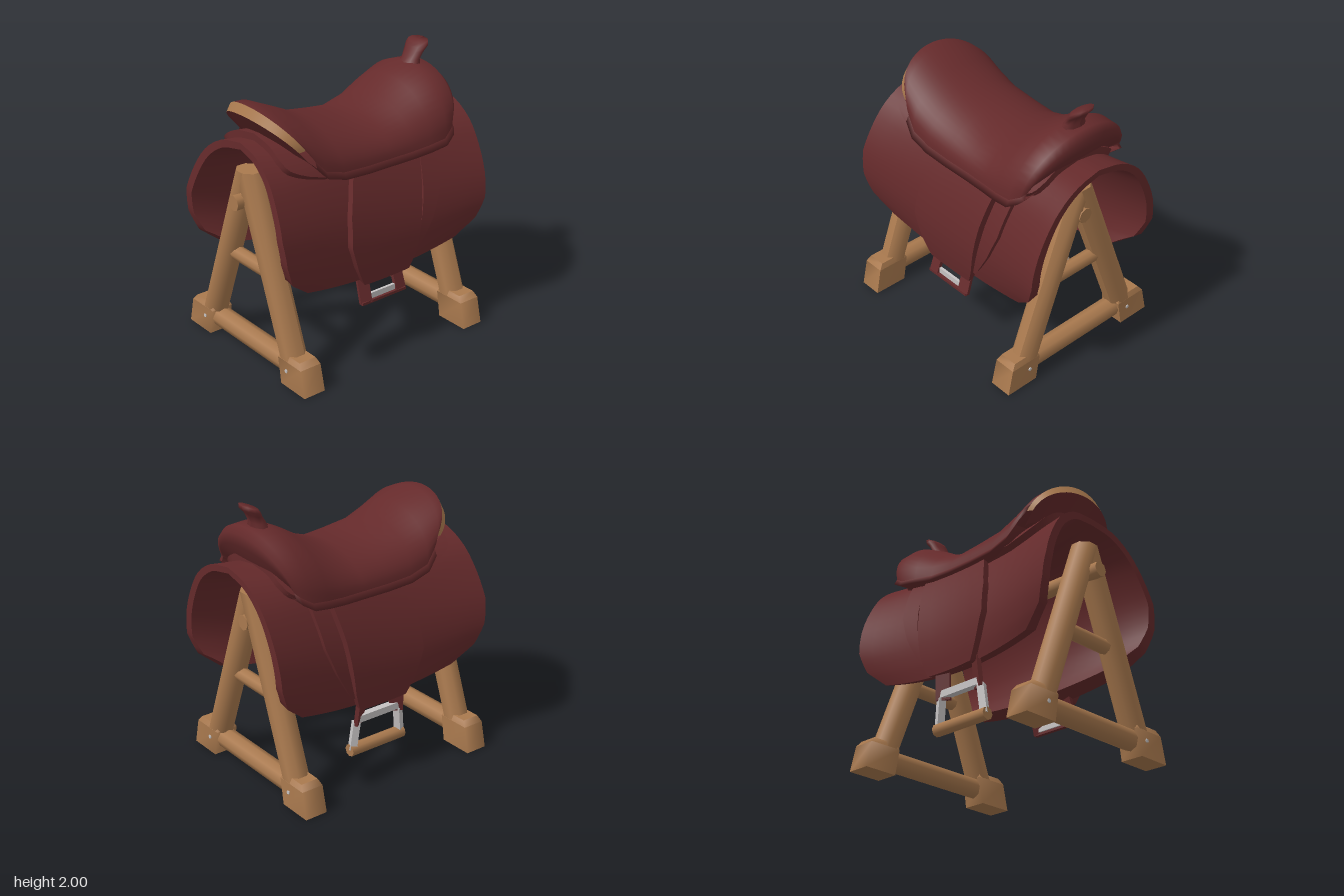
import * as THREE from 'three';
import { mergeGeometries } from 'three/addons/utils/BufferGeometryUtils.js';

const V = (x, y, z) => new THREE.Vector3(x, y, z);

// Surface over an integer grid; fn(i, j) gives a point, normals face di x dj.
function grid(ni, nj, fn) {
  const pos = [], idx = [];
  for (let i = 0; i <= ni; i++) for (let j = 0; j <= nj; j++) pos.push(...fn(i, j).toArray());
  const at = (i, j) => i * (nj + 1) + j;
  for (let i = 0; i < ni; i++) for (let j = 0; j < nj; j++) {
    idx.push(at(i, j), at(i + 1, j), at(i + 1, j + 1), at(i, j), at(i + 1, j + 1), at(i, j + 1));
  }
  const g = new THREE.BufferGeometry();
  g.setAttribute('position', new THREE.Float32BufferAttribute(pos, 3));
  g.setIndex(idx);
  g.computeVertexNormals();
  return g;
}

// Half profile of the draped arch, from the ridge (k = 0) to the hem (k = 7).
const profile = new THREE.CatmullRomCurve3([
  [0, 1.61], [0.2, 1.57], [0.36, 1.46], [0.47, 1.3], [0.55, 1.1], [0.575, 0.9], [0.55, 0.72], [0.505, 0.58],
].map(([z, y]) => V(0, y, z)));

// Point on the arch at signed k and x, pushed outwards by off; waisted in the middle.
function drape(k, x, off) {
  const a = Math.abs(k) / 7, p = profile.getPoint(a), t = profile.getTangent(a);
  if (a === 0) t.set(0, 0, 1);
  const w = 1 - (x / 0.9) ** 2;
  const z = (p.z - t.y * off) * (1 - (0.07 + 0.1 * Math.sin(Math.PI * a)) * w);
  const y = p.y + t.z * off - 0.06 * w * (1 - a) + 0.08 * (x / 0.7) ** 2 * a ** 4;
  return V(x, y, k < 0 ? -z : z);
}

// Interpolates a table of [key, left x, right x].
function edges(table, k) {
  k = Math.abs(k);
  let n = 0;
  while (n < table.length - 2 && k > table[n + 1][0]) n++;
  const [a, b] = [table[n], table[n + 1]];
  const f = (k - a[0]) / (b[0] - a[0]);
  return [a[1] + (b[1] - a[1]) * f, a[2] + (b[2] - a[2]) * f];
}

// Leather slab on the arch between k0 and k1; lo(x, k) and hi are its inner and outer offsets.
function slab(k0, k1, table, lo, hi, ni, nj) {
  const pt = (i, j, outer) => {
    const k = k0 + (k1 - k0) * i / ni, [l, r] = edges(table, k);
    const x = l + (r - l) * j / nj;
    return drape(k, x, outer ? hi : lo(x, k));
  };
  return mergeGeometries([
    grid(ni, nj, (i, j) => pt(i, j, 1)),
    grid(ni, nj, (i, j) => pt(i, nj - j, 0)),
    grid(ni, 1, (i, j) => pt(i, 0, j)),
    grid(ni, 1, (i, j) => pt(i, nj, 1 - j)),
    grid(1, nj, (i, j) => pt(0, j, i)),
    grid(1, nj, (i, j) => pt(ni, j, 1 - i)),
  ]);
}

export function createModel() {
  const model = new THREE.Group();
  model.name = 'saddleOnStand';
  const material = (name, color, side = THREE.FrontSide) => {
    const m = new THREE.MeshStandardMaterial({ color, side });
    m.name = name;
    return m;
  };
  const leather = material('redLeather', 0x652a2b, THREE.DoubleSide);
  const wood = material('wood', 0xa9794e, THREE.DoubleSide);
  const steel = material('steel', 0xc6c3c3);
  const add = (name, geo, mat) => {
    const m = new THREE.Mesh(geo, mat);
    m.name = name;
    model.add(m);
    return m;
  };
  const rod = (name, a, b, w, h, mat) => {
    const m = add(name, new THREE.BoxGeometry(w, h, a.distanceTo(b)), mat);
    m.position.copy(a).lerp(b, 0.5);
    m.lookAt(b);
    return m;
  };
  // Flat-sided post, sheared in z.
  const post = (sides, rx, rz, y0, y1, zAt, taper = 1) => {
    const c = Math.cos(Math.PI / sides);
    const g = new THREE.CylinderGeometry(taper / c, 1 / c, y1 - y0, sides);
    g.rotateY(Math.PI / sides).scale(rx, 1, rz).translate(0, (y0 + y1) / 2, 0);
    const p = g.attributes.position;
    for (let i = 0; i < p.count; i++) p.setZ(i, p.getZ(i) + zAt(p.getY(i)));
    g.computeVertexNormals();
    return g;
  };

  // Wooden stand: two A-frames joined by a ridge beam
  for (const [x, out] of [[-0.755, -1], [0.69, 1]]) {
    for (const s of [-1, 1]) {
      const footZ = y => s * (0.55 - 0.2 * y);
      add('standLeg', post(8, 0.082, 0.092, 0.05, 1.4, y => s * (0.375 * (1.4 - y))), wood).position.x = x;
      add('standFoot', post(4, 0.085, 0.128, 0, 0.19, footZ, 0.97), wood).position.x = x;
      add('footShoulder', post(4, 0.0825, 0.124, 0.19, 0.23, footZ, 0.8), wood).position.x = x;
      const bolt = add('bolt', new THREE.CylinderGeometry(0.014, 0.014, 0.012, 6).rotateZ(Math.PI / 2), steel);
      bolt.position.set(x + out * 0.084, 0.12, s * 0.48);
    }
    for (const [y, r, len] of [[0.125, 0.075, 0.92], [0.72, 0.052, 0.5]]) {
      const bar = add('crossBar', new THREE.CylinderGeometry(r, r, len, 8).rotateX(Math.PI / 2), wood);
      bar.position.set(x, y, 0);
    }
  }
  add('ridgeBeam', new THREE.CylinderGeometry(0.055, 0.055, 1.67, 8).rotateZ(Math.PI / 2), wood).position.set(-0.055, 1.19, 0);

  // Draped pad, thin at both ends, and the skirt on top of it
  const padEdges = [[0, -0.82, 0.88], [1, -0.84, 0.89], [2, -0.86, 0.89], [3, -0.88, 0.885],
    [4, -0.9, 0.88], [5, -0.88, 0.87], [6, -0.82, 0.81], [7, -0.66, 0.66]];
  const padInside = (x, k) => -0.09 - 0.04 * Math.abs(k) / 7 + 0.05 * (x / 0.9) ** 2;
  add('saddlePad', slab(-7, 7, padEdges, padInside, 0, 42, 16), leather);
  const skirtEdges = [[0, -0.71, 0.69], [1.4, -0.73, 0.69], [1.9, -0.71, 0.66], [2.25, -0.6, 0.56], [2.5, -0.42, 0.42]];
  add('skirt', slab(-2.5, 2.5, skirtEdges, () => 0, 0.05, 28, 14), leather);

  // Fenders and cinch straps on both sides
  const fender = [[2, -0.15, 0.38], [3, -0.24, 0.35], [4, -0.31, 0.31], [5, -0.33, 0.28], [6, -0.27, 0.25], [7, -0.2, 0.2]];
  const cinch = [[2, 0.4, 0.53], [3, 0.37, 0.51], [4, 0.34, 0.48], [5, 0.3, 0.4], [6.3, 0.24, 0.26]];
  for (const s of [-1, 1]) {
    const range = (a, b) => (s > 0 ? [a, b] : [-b, -a]);
    add('fender', slab(...range(2, 7), fender, () => 0, 0.06, 15, 6), leather);
    add('cinchStrap', slab(...range(2, 6.3), cinch, () => 0, 0.035, 13, 2), leather);
  }

  // Seat sections: ridge x, ridge y, edge x, edge y, half width
  const rim = [-0.76, 1.84, -0.575, 1.6, 0.375], rimBack = [-0.79, 1.775, -0.62, 1.59, 0.365];
  const sections = [
    rim, [-0.68, 1.84, -0.53, 1.53, 0.41],
    [-0.5, 1.76, -0.45, 1.44, 0.43], [-0.33, 1.68, -0.3, 1.395, 0.43], [-0.1, 1.645, -0.1, 1.385, 0.43],
    [0.1, 1.62, 0.1, 1.385, 0.43], [0.3, 1.69, 0.28, 1.39, 0.44], [0.45, 1.78, 0.42, 1.41, 0.465],
    [0.6, 1.855, 0.55, 1.43, 0.475], [0.73, 1.845, 0.63, 1.48, 0.45], [0.775, 1.8, 0.66, 1.51, 0.42],
    [0.76, 1.71, 0.65, 1.5, 0.41], [0.67, 1.56, 0.55, 1.42, 0.41],
  ];
  const N = 24;
  const arc = ([xc, top, xe, ey, ez], i) => {
    const a = (i / N - 0.5) * Math.PI, c = Math.cos(a);
    return V(xe + (xc - xe) * c, ey + (top - ey) * c, ez * Math.sin(a));
  };
  add('seat', grid(N, sections.length - 1, (i, j) => arc(sections[j], i)), leather);

  // Flared lower lip of the seat, turned back in to the skirt
  const lip = [[0, 0], [0.025, -0.045], [-0.09, -0.03]];
  for (const s of [-1, 1]) {
    add('seatLip', grid(2, 10, (i, j) => {
      const [, , x, y, z] = sections[j + 1];
      const n = s > 0 ? i : 2 - i;
      return V(x, y + lip[n][1], s * (z + lip[n][0]));
    }), leather);
  }

  // Cantle: bare wooden edge along the rim, leather underneath
  add('cantleEdge', grid(N, 1, (i, j) => arc(j ? rim : rimBack, i)), wood);
  add('cantleBack', grid(N, 1, (i, j) => arc(j ? rimBack : [-0.62, 1.57, -0.54, 1.5, 0.36], i)), leather);

  // Horn: centre x, y, half depth, half width, slope of the ring
  const rings = [[0.62, 1.78, 0.09, 0.12, 0], [0.645, 1.87, 0.05, 0.078, 0.1], [0.675, 1.925, 0.045, 0.09, 0.2],
    [0.7, 1.96, 0.055, 0.1, 0.2], [0.712, 1.988, 0.048, 0.09, 0.25], [0.712, 1.988, 0, 0, 0]];
  add('horn', grid(10, rings.length - 1, (i, j) => {
    const [x, y, rx, rz, slope] = rings[j], a = -i / 10 * Math.PI * 2;
    const dx = rx * Math.cos(a);
    return V(x + dx, y + dx * slope, rz * Math.sin(a));
  }), leather);

  // Front stirrup, swung out in its leather loop
  for (const x of [-0.18, 0.13]) rod('stirrupStrap', V(x * 0.95, 0.62, 0.45), V(x, 0.42, 0.515), 0.09, 0.025, leather);
  rod('stirrupLoop', V(-0.22, 0.425, 0.515), V(0.17, 0.425, 0.515), 0.03, 0.02, leather);
  rod('stirrupBar', V(-0.17, 0.455, 0.5), V(0.12, 0.455, 0.5), 0.02, 0.045, steel);

  // Back stirrup, hanging down with a wooden tread
  for (const [x, d] of [[-0.18, -1], [0.13, 1]]) {
    rod('stirrupStrap', V(x, 0.62, -0.45), V(x + d * 0.01, 0.41, -0.43), 0.1, 0.03, leather);
    rod('stirrupSide', V(x + d * 0.03, 0.43, -0.43), V(x + d * 0.055, 0.22, -0.42), 0.05, 0.05, steel);
  }
  rod('stirrupBar', V(-0.2, 0.45, -0.43), V(0.15, 0.45, -0.43), 0.05, 0.05, steel);
  const tread = add('stirrupTread', new THREE.CylinderGeometry(0.045, 0.045, 0.47, 8).rotateZ(Math.PI / 2), wood);
  tread.position.set(-0.025, 0.215, -0.42);

  return model;
}
